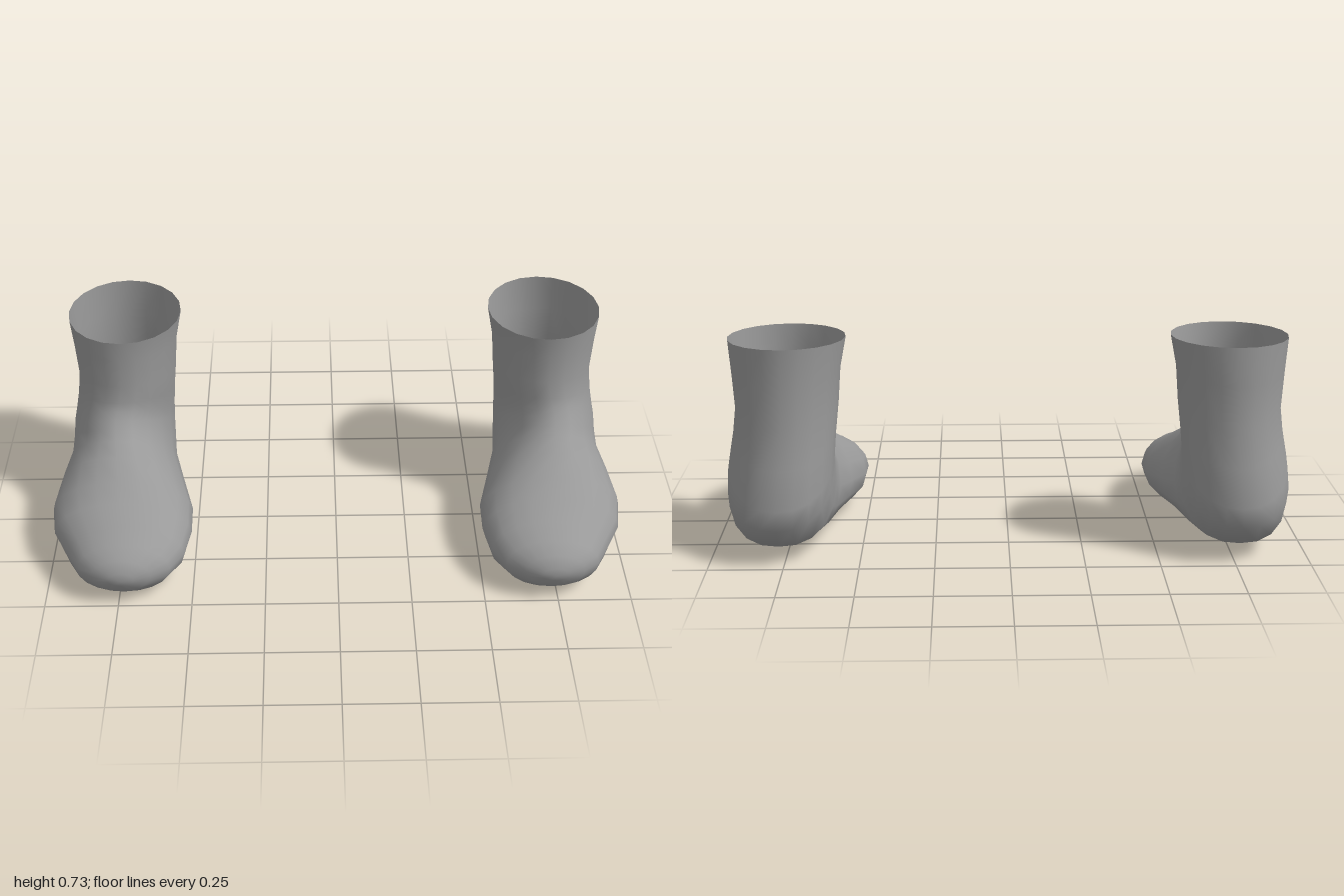
import * as THREE from 'three';

// Rings from collar to toe: instep z, y | heel or sole z, y | centre x, half width | height of widest point (0 sole, 1 instep)
const RINGS = [
  [-0.02, 0.725, -0.46, 0.732, 0.74, 0.197, 0.5],
  [-0.025, 0.65, -0.46, 0.6, 0.745, 0.182, 0.5],
  [-0.02, 0.55, -0.467, 0.46, 0.745, 0.173, 0.5],
  [-0.01, 0.49, -0.487, 0.33, 0.755, 0.173, 0.48],
  [0.0, 0.46, -0.51, 0.2, 0.765, 0.177, 0.46],
  [0.02, 0.435, -0.5, 0.13, 0.77, 0.181, 0.45],
  [0.04, 0.41, -0.43, 0.055, 0.77, 0.184, 0.43],
  [0.07, 0.385, -0.31, 0.035, 0.768, 0.188, 0.41],
  [0.12, 0.35, -0.12, 0.04, 0.764, 0.215, 0.38],
  [0.2, 0.3, 0.08, 0.02, 0.755, 0.246, 0.41],
  [0.27, 0.262, 0.24, 0.015, 0.745, 0.238, 0.45],
  [0.36, 0.232, 0.37, 0.0, 0.728, 0.2, 0.5],
  [0.435, 0.207, 0.45, 0.022, 0.73, 0.158, 0.5],
  [0.485, 0.18, 0.49, 0.055, 0.735, 0.1, 0.5],
  [0.505, 0.14, 0.505, 0.09, 0.735, 0.045, 0.5],
];
const TOE_TIP = [0.735, 0.113, 0.511];
const SIDES = 20;

// Lofts egg-shaped rings into one open sock; side is +1 for left, -1 for right
function sockGeometry(side) {
  const positions = [];
  const indices = [];
  const face = (a, b, c) => indices.push(...(side > 0 ? [a, b, c] : [a, c, b]));

  for (const [topZ, topY, lowZ, lowY, cx, halfWidth, widest] of RINGS) {
    const power = Math.log(widest) / Math.log(0.5);
    for (let j = 0; j < SIDES; j++) {
      const a = (j / SIDES) * Math.PI * 2;
      const t = Math.pow((1 - Math.cos(a)) / 2, power);
      positions.push(
        side * (cx + halfWidth * Math.sin(a)),
        lowY + (topY - lowY) * t,
        lowZ + (topZ - lowZ) * t
      );
    }
  }
  positions.push(side * TOE_TIP[0], TOE_TIP[1], TOE_TIP[2]);

  const tip = RINGS.length * SIDES;
  for (let i = 0; i < RINGS.length; i++) {
    for (let j = 0; j < SIDES; j++) {
      const a = i * SIDES + j;
      const b = i * SIDES + ((j + 1) % SIDES);
      if (i === RINGS.length - 1) {
        face(a, b, tip); // closed toe
      } else {
        face(a, b, b + SIDES);
        face(a, b + SIDES, a + SIDES);
      }
    }
  }

  const geometry = new THREE.BufferGeometry();
  geometry.setAttribute('position', new THREE.Float32BufferAttribute(positions, 3));
  geometry.setIndex(indices);
  geometry.computeVertexNormals();
  return geometry;
}

export function createModel() {
  const group = new THREE.Group();
  group.name = 'socks';

  // Thin open fabric, seen from inside as well
  const fabric = new THREE.MeshStandardMaterial({ color: 0x999999 });
  fabric.name = 'grey fabric';
  fabric.side = THREE.DoubleSide;

  for (const [name, side] of [['leftSock', 1], ['rightSock', -1]]) {
    const sock = new THREE.Mesh(sockGeometry(side), fabric);
    sock.name = name;
    group.add(sock);
  }
  return group;
}
